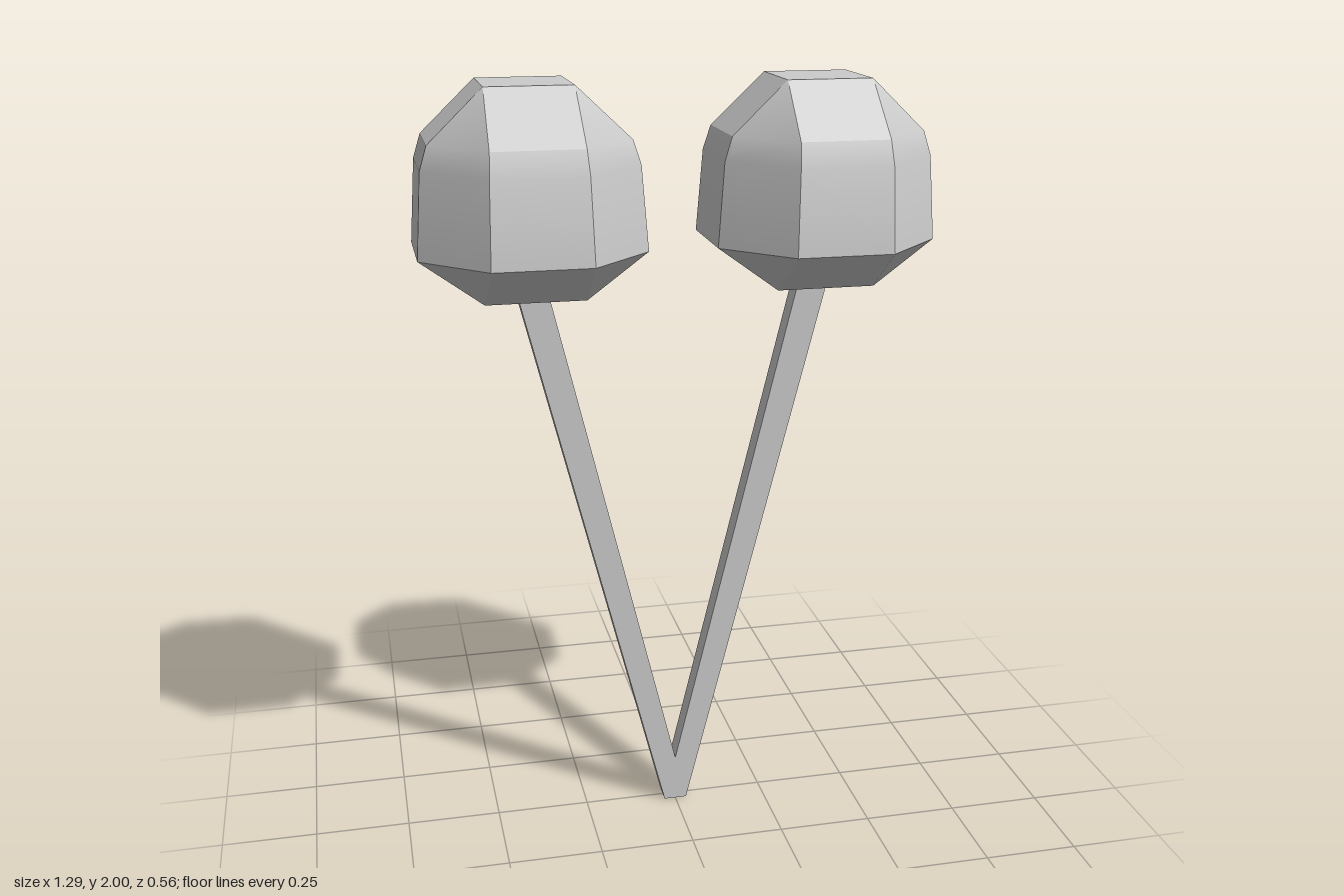
import * as THREE from 'three';
import { ConvexGeometry } from 'three/addons/geometries/ConvexGeometry.js';
import { toCreasedNormals } from 'three/addons/utils/BufferGeometryUtils.js';

const material = new THREE.MeshStandardMaterial({ color: 0xcccccc });

// Faceted berry: square caps joined by chamfered rings.
// Each ring is [height, half width, half length of the flat side].
function berryGeometry() {
  const rings = [
    [1.487, 0.125, 0.125],
    [1.6, 0.28, 0.122],
    [1.81, 0.264, 0.116],
    [1.87, 0.245, 0.112],
    [2.0, 0.108, 0.108],
  ];
  const points = [];
  for (const [y, r, c] of rings) {
    for (const sx of [-1, 1]) {
      for (const sz of [-1, 1]) {
        points.push(new THREE.Vector3(sx * r, y, sz * c));
        if (r !== c) points.push(new THREE.Vector3(sx * c, y, sz * r));
      }
    }
  }
  return toCreasedNormals(new ConvexGeometry(points), 0.42);
}

// Slanted square stem with level ends, leaning and widening toward one side
function stemGeometry(side) {
  const height = 1.472;
  const geometry = new THREE.BoxGeometry(1, height, 0.056).translate(0, height / 2, 0);
  const p = geometry.attributes.position;
  for (let i = 0; i < p.count; i++) {
    const t = p.getY(i) / height;
    p.setX(i, side * 0.36 * t + p.getX(i) * (0.062 + 0.016 * t));
  }
  geometry.computeVertexNormals();
  return geometry;
}

export function createModel() {
  const model = new THREE.Group();
  model.name = 'twinBerries';
  const berryShape = berryGeometry();
  for (const [label, side] of [['left', 1], ['right', -1]]) {
    const stem = new THREE.Mesh(stemGeometry(side), material);
    stem.name = label + 'Stem';
    const berry = new THREE.Mesh(berryShape, material);
    berry.name = label + 'Berry';
    berry.position.x = side * 0.367;
    model.add(stem, berry);
  }
  return model;
}
